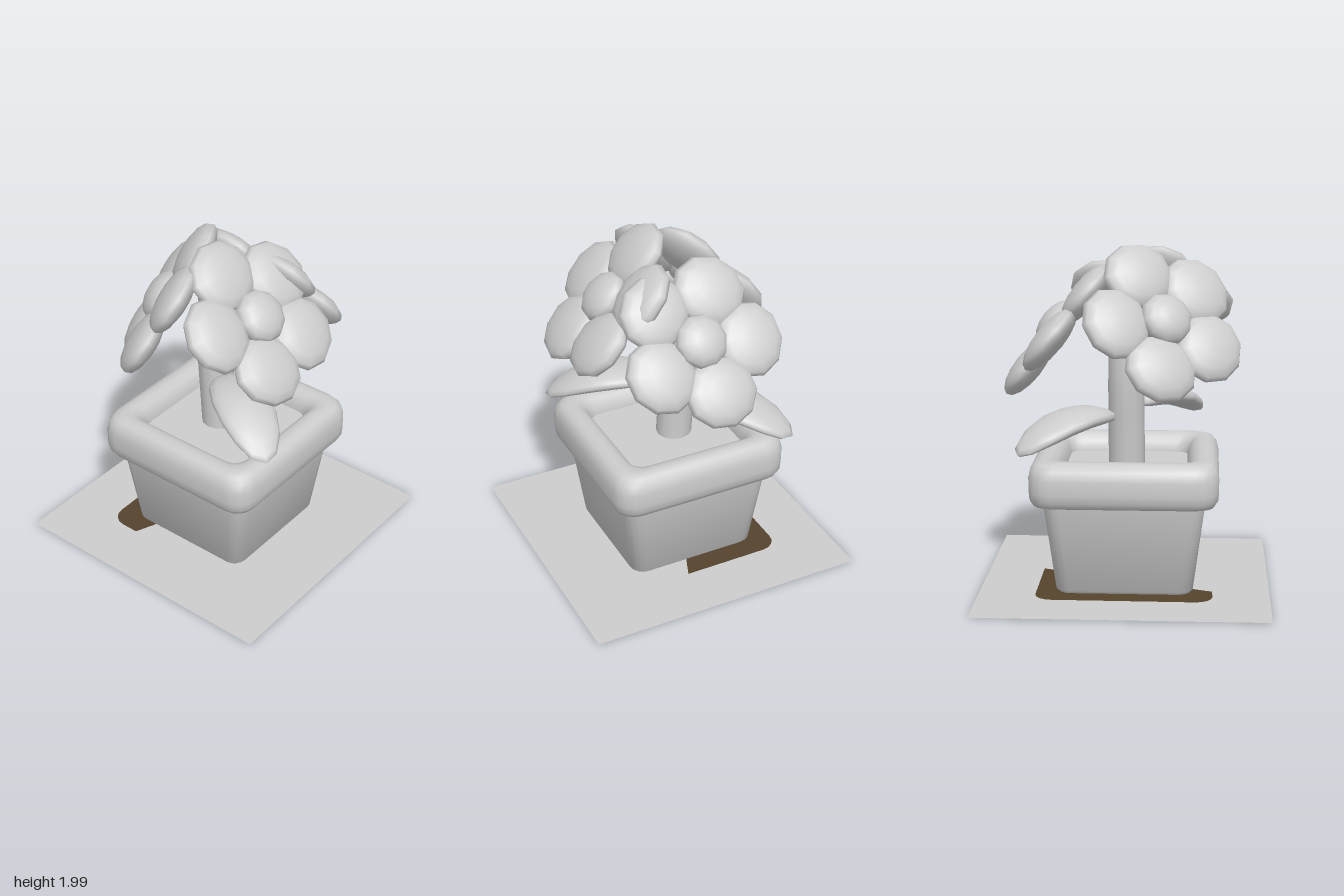
import * as THREE from 'three';
import { toCreasedNormals } from 'three/addons/utils/BufferGeometryUtils.js';

const grey = new THREE.MeshStandardMaterial({ color: 0xcccccc, side: THREE.DoubleSide });
grey.name = 'paleGrey';
const brown = new THREE.MeshStandardMaterial({ color: 0x55432c, side: THREE.DoubleSide });
brown.name = 'darkBrown';

function mesh(name, geometry, material = grey) {
  const m = new THREE.Mesh(geometry, material);
  m.name = name;
  return m;
}

// Outline of a rounded square with half width h and corner radius r
function roundedSquare(h, r, steps = 4) {
  const pts = [];
  for (let c = 0; c < 4; c++) {
    const mid = Math.PI / 4 + c * Math.PI / 2;
    const cx = Math.sign(Math.cos(mid)) * (h - r), cz = Math.sign(Math.sin(mid)) * (h - r);
    for (let i = 0; i <= steps; i++) {
      const a = c * Math.PI / 2 + (i / steps) * Math.PI / 2;
      pts.push([cx + r * Math.cos(a), cz + r * Math.sin(a)]);
    }
  }
  return pts;
}

// Skin a stack of rounded squares given as [half width, y, corner radius]
function squareLoft(profile, crease = 0.8) {
  const pos = [], idx = [];
  const n = roundedSquare(1, 0.1).length;
  for (const [h, y, r] of profile) for (const [x, z] of roundedSquare(h, r)) pos.push(x, y, z);
  for (let k = 0; k < profile.length - 1; k++) {
    for (let i = 0; i < n; i++) {
      const a = k * n + i, b = k * n + (i + 1) % n;
      idx.push(a, a + n, b, b, a + n, b + n);
    }
  }
  const g = new THREE.BufferGeometry();
  g.setAttribute('position', new THREE.Float32BufferAttribute(pos, 3));
  g.setIndex(idx);
  return toCreasedNormals(g, crease);
}

// Flattened ball lying in the xy plane
function pad(rx, ry, rz) {
  return new THREE.SphereGeometry(1, 10, 8).rotateX(Math.PI / 2).scale(rx, ry, rz);
}

// Five petals around a button, facing along the normal
function flower(name, centre, normal, phase) {
  const g = new THREE.Group();
  g.name = name;
  const n = new THREE.Vector3(...normal).normalize();
  const u = new THREE.Vector3(0, 1, 0).cross(n).normalize();
  const v = n.clone().cross(u);
  g.quaternion.setFromRotationMatrix(new THREE.Matrix4().makeBasis(u, v, n));
  g.position.set(...centre);
  const petalShape = pad(0.205, 0.22, 0.08);
  for (let i = 0; i < 5; i++) {
    const a = THREE.MathUtils.degToRad(phase + 72 * i);
    const petal = mesh('petal', petalShape);
    petal.position.set(0.3 * Math.cos(a), 0.3 * Math.sin(a), 0);
    petal.rotation.z = a;
    g.add(petal);
  }
  const button = mesh('flowerCentre', pad(0.155, 0.155, 0.085));
  button.position.z = 0.035;
  g.add(button);
  return g;
}

// Arched oval leaf pointing along (dx, dz)
function leaf(name, x, y, z, dx, dz) {
  const g = new THREE.SphereGeometry(1, 14, 10);
  const p = g.attributes.position;
  for (let i = 0; i < p.count; i++) {
    const t = p.getX(i);
    const arch = -0.07 * t - 0.08 * t * t;
    p.setXYZ(i, t * 0.35, p.getY(i) * 0.065 + arch, p.getZ(i) * 0.17);
  }
  g.computeVertexNormals();
  const m = mesh(name, g);
  m.position.set(x, y, z);
  m.rotation.y = Math.atan2(-dz, dx);
  return m;
}

export function createModel() {
  const model = new THREE.Group();
  model.name = 'pottedFlowers';

  // Ground sheet with the faintly tilted dark patch crossing it
  const ground = mesh('groundSheet', new THREE.PlaneGeometry(1.68, 1.68).rotateX(-Math.PI / 2));
  ground.position.y = 0.004;
  const outline = roundedSquare(0.51, 0.1).map(([x, z]) => new THREE.Vector2(x, -z));
  const patch = new THREE.ShapeGeometry(new THREE.Shape(outline)).rotateX(-Math.PI / 2);
  const pp = patch.attributes.position;
  for (let i = 0; i < pp.count; i++) {
    pp.setY(i, 0.004 - 0.005 * (pp.getZ(i) - 0.4 * pp.getX(i) + 0.1));
  }
  patch.computeVertexNormals();
  model.add(ground, mesh('darkPatch', patch, brown));

  // Tapered pot, padded rim and soil
  model.add(mesh('potBody', squareLoft([
    [0, 0.006, 0], [0.38, 0.006, 0.07], [0.397, 0.025, 0.08], [0.465, 0.55, 0.09],
  ])));
  model.add(mesh('potRim', squareLoft([
    [0.36, 0.54, 0.08], [0.48, 0.53, 0.1], [0.515, 0.54, 0.11], [0.537, 0.575, 0.125],
    [0.542, 0.62, 0.13], [0.542, 0.70, 0.13], [0.53, 0.755, 0.125], [0.505, 0.785, 0.115],
    [0.47, 0.798, 0.1], [0.43, 0.798, 0.1], [0.395, 0.78, 0.09], [0.37, 0.745, 0.08],
    [0.355, 0.69, 0.08], [0.355, 0.6, 0.08],
  ])));
  model.add(mesh('soil', squareLoft([[0.37, 0.69, 0.08], [0, 0.69, 0]])));

  // Stem, gently curved and wider at its foot
  const stemPath = new THREE.CatmullRomCurve3([
    new THREE.Vector3(0, 0.66, -0.05), new THREE.Vector3(0, 0.9, -0.065),
    new THREE.Vector3(0, 1.25, -0.085), new THREE.Vector3(-0.01, 1.58, -0.06),
  ]);
  model.add(mesh('stem', new THREE.TubeGeometry(stemPath, 12, 0.106, 12)));

  // Leaves
  model.add(leaf('frontLeaf', -0.22, 1.06, 0.305, -0.51, 0.86));
  model.add(leaf('backLeaf', 0.33, 1.0, -0.29, 0.73, -0.68));

  // Flower heads
  model.add(flower('frontFlower', [-0.12, 1.61, 0.31], [-0.06, 0.68, 0.73], 31));
  model.add(flower('leftFlower', [0.39, 1.51, -0.01], [0.78, 0.62, 0.02], -9));
  model.add(flower('backFlower', [-0.22, 1.575, -0.255], [-0.42, 0.52, -0.75], 35));

  return model;
}
